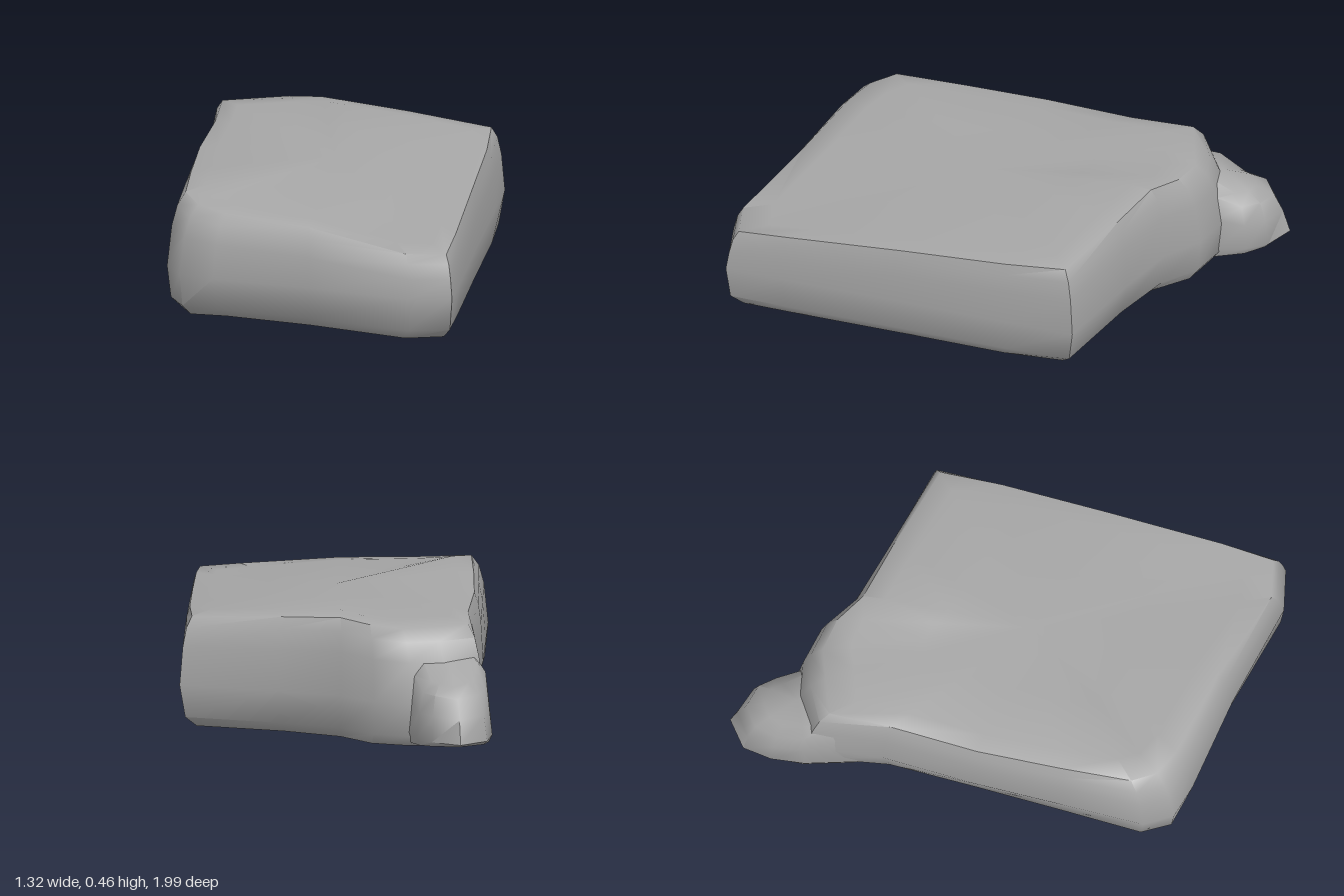
import * as THREE from 'three';
import { mergeVertices, toCreasedNormals } from 'three/addons/utils/BufferGeometryUtils.js';

// Stacks rings made from an outline. Each outline point is
// [x, z, rim height, foot inset, rim inset]; each level is a function giving [inset, y].
function loftStone(outline, levels, center, crownY, floorY) {
  const n = outline.length, pos = [], index = [];
  for (const level of levels) {
    for (const p of outline) {
      const [inset, y] = level(p);
      pos.push(p[0] + (center[0] - p[0]) * inset, y, p[1] + (center[1] - p[1]) * inset);
    }
  }
  const crown = pos.length / 3, floor = crown + 1;
  pos.push(center[0], crownY, center[1], center[0], floorY, center[1]);
  for (let i = 0; i < n; i++) {
    const j = (i + 1) % n;
    for (let r = 0; r < levels.length - 1; r++) {
      const a = r * n, b = a + n;
      index.push(a + i, a + j, b + j, a + i, b + j, b + i);
    }
    const t = (levels.length - 1) * n;
    index.push(crown, t + i, t + j, floor, j, i);
  }
  const geo = new THREE.BufferGeometry();
  geo.setAttribute('position', new THREE.Float32BufferAttribute(pos, 3));
  geo.setIndex(index);
  return toCreasedNormals(mergeVertices(geo), 0.95);
}

export function createModel() {
  const group = new THREE.Group();
  const stone = new THREE.MeshStandardMaterial({ color: 0xa6a6a6 });
  stone.name = 'stone grey';

  // Main slab: a skewed block with a sloping top and undercut foot
  const slab = [
    [-0.66, 0.46, 0.44, 0.05, 0.11],
    [-0.63, 0.57, 0.42, 0.04, 0.12],
    [-0.52, 0.64, 0.405, 0.08, 0.1],
    [-0.2, 0.79, 0.385, 0.06, 0.08],
    [0.14, 0.98, 0.335, 0.03, 0.05],
    [0.29, 0.99, 0.33, 0.04, 0.05],
    [0.35, 0.79, 0.35, 0.04, 0.04],
    [0.47, 0.37, 0.385, 0.04, 0.04],
    [0.585, -0.02, 0.41, 0.04, 0.05],
    [0.655, -0.26, 0.425, 0.08, 0.08],
    [0.34, -0.44, 0.445, 0.08, 0.06],
    [0.14, -0.57, 0.455, 0.05, 0.08],
    [0.05, -0.69, 0.445, 0.02, 0.1],
    [-0.07, -0.76, 0.435, 0.02, 0.11],
    [-0.2, -0.78, 0.435, 0.02, 0.14],
    [-0.34, -0.73, 0.435, 0.03, 0.1],
    [-0.385, -0.46, 0.43, 0.1, 0.06],
    [-0.49, -0.14, 0.43, 0.13, 0.06],
    [-0.58, 0.18, 0.435, 0.09, 0.08],
  ];
  const body = new THREE.Mesh(loftStone(slab, [
    (p) => [p[3] + 0.03, 0.01],
    (p) => [p[3] * 0.45, 0.05],
    () => [0, 0.17],
    (p) => [p[4] * 0.25, p[2] * 0.72],
    (p) => [p[4] * 0.55, p[2] * 0.88],
    (p) => [p[4], p[2] * 0.975],
    (p) => [p[4] + 0.12, p[2]],
    (p) => [0.55, p[2] * 0.5 + 0.215],
  ], [0, 0.08], 0.43, 0), stone);
  body.name = 'slab';
  group.add(body);

  // Low rounded knob at the back, with its foot drawn out to a point
  const knobOutline = [
    [-0.36, -0.55, 0.34, 0, 0.1],
    [-0.05, -0.55, 0.34, 0, 0.1],
    [-0.06, -0.74, 0.31, 0.02, 0.2],
    [-0.065, -0.85, 0.26, 0.02, 0.25],
    [-0.1, -0.93, 0.26, 0.02, 0.25],
    [-0.19, -1.0, 0.25, 0, 0.3],
    [-0.3, -0.96, 0.26, 0.02, 0.3],
    [-0.345, -0.86, 0.26, 0.02, 0.25],
    [-0.365, -0.74, 0.31, 0.02, 0.15],
  ].reverse();
  // Same winding as the slab once listed from the other end
  knobOutline.reverse();
  const knob = new THREE.Mesh(loftStone(knobOutline, [
    (p) => [p[3] + 0.08, 0.025 + Math.max(0, -p[1] - 0.75) * 0.12],
    (p) => [p[3], 0.065],
    (p) => [p[4] * 0.35, p[2] * 0.6],
    (p) => [p[4] * 0.8, p[2] * 0.87],
    (p) => [p[4] + 0.2, p[2]],
  ], [-0.21, -0.76], 0.31, 0.025), stone);
  knob.name = 'knob';
  group.add(knob);

  return group;
}
